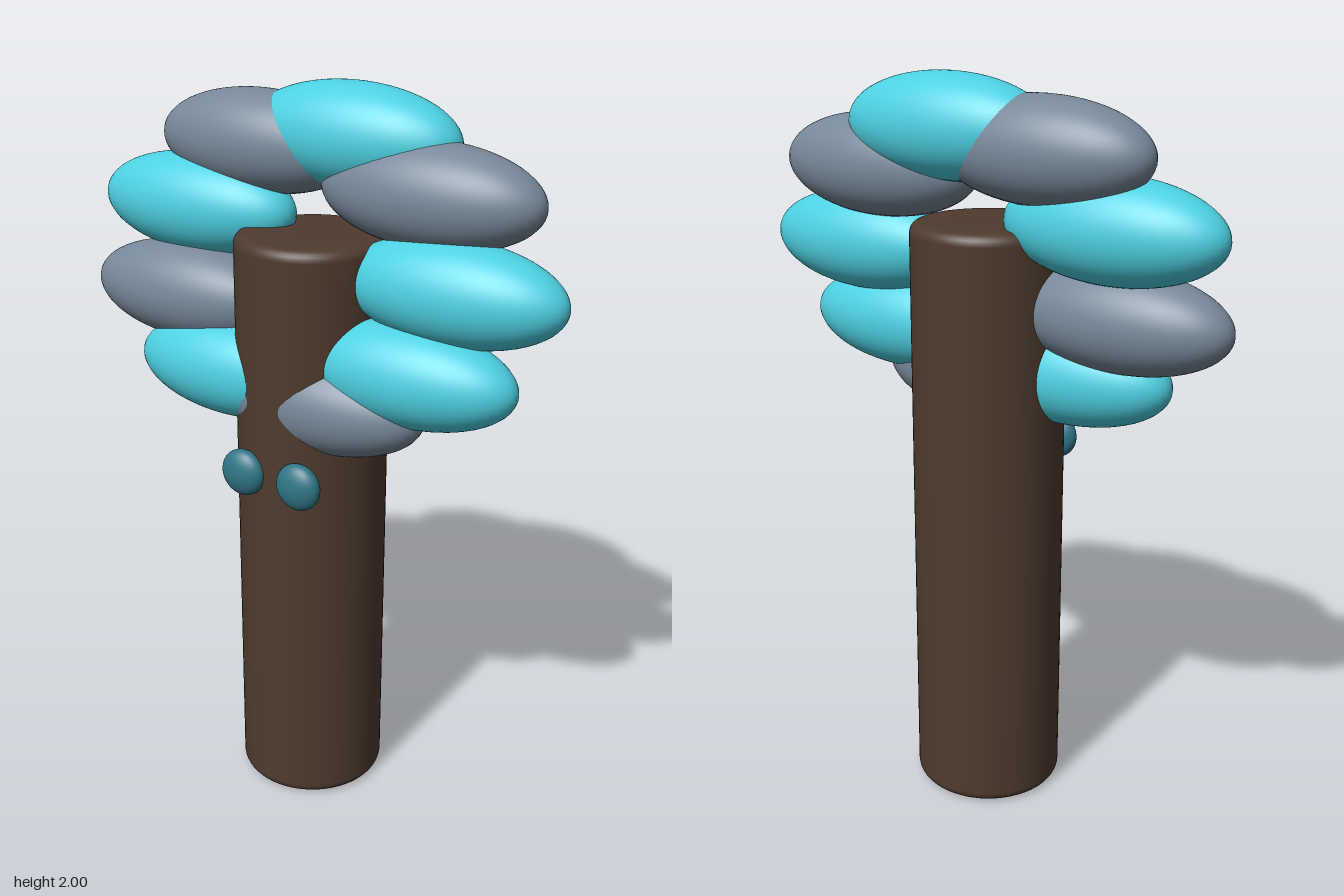
import * as THREE from 'three';

const CX = -0.015, CZ = -0.015; // trunk axis
const mat = (color) => new THREE.MeshStandardMaterial({ color });

function ellipsoid(name, material, radii, position) {
  const mesh = new THREE.Mesh(new THREE.SphereGeometry(1, 48, 32), material);
  mesh.name = name;
  mesh.scale.set(...radii);
  mesh.position.set(...position);
  return mesh;
}

export function createModel() {
  const model = new THREE.Group();
  model.name = 'tree';
  const bark = mat(0x4e3b2e), teal = mat(0x4dd0e1), slate = mat(0x778899), darkTeal = mat(0x2f7585);

  // Trunk: cylinder with softly rounded rims
  const radius = 0.205, height = 1.625, rim = 0.03;
  const profile = [new THREE.Vector2(0, 0)];
  for (const [y, start] of [[rim, -Math.PI / 2], [height - rim, 0]]) {
    for (let i = 0; i <= 6; i++) {
      const a = start + (i / 6) * Math.PI / 2;
      profile.push(new THREE.Vector2(radius - rim + rim * Math.cos(a), y + rim * Math.sin(a)));
    }
  }
  profile.push(new THREE.Vector2(0, height));
  const trunk = new THREE.Mesh(new THREE.LatheGeometry(profile, 64), bark);
  trunk.name = 'trunk';
  trunk.position.set(CX, 0, CZ);
  model.add(trunk);

  // Crown: nine leaf puffs on an oval ring that leans back
  const crown = new THREE.Group();
  crown.name = 'crown';
  for (let i = 0; i < 9; i++) {
    const a = (i / 9) * Math.PI * 2;
    crown.add(ellipsoid('leafPuff' + (i + 1), i % 2 ? slate : teal, [0.307, 0.135, 0.13],
      [CX + 0.408 * Math.cos(a), 1.53 + 0.34 * Math.sin(a), CZ - 0.076 * Math.sin(a)]));
  }
  model.add(crown);

  // Pair of flattened eyes on the trunk front
  for (const side of [-1, 1]) {
    model.add(ellipsoid(side > 0 ? 'leftEye' : 'rightEye', darkTeal, [0.065, 0.065, 0.036],
      [CX + side * 0.0875, 1, 0.188]));
  }
  return model;
}
